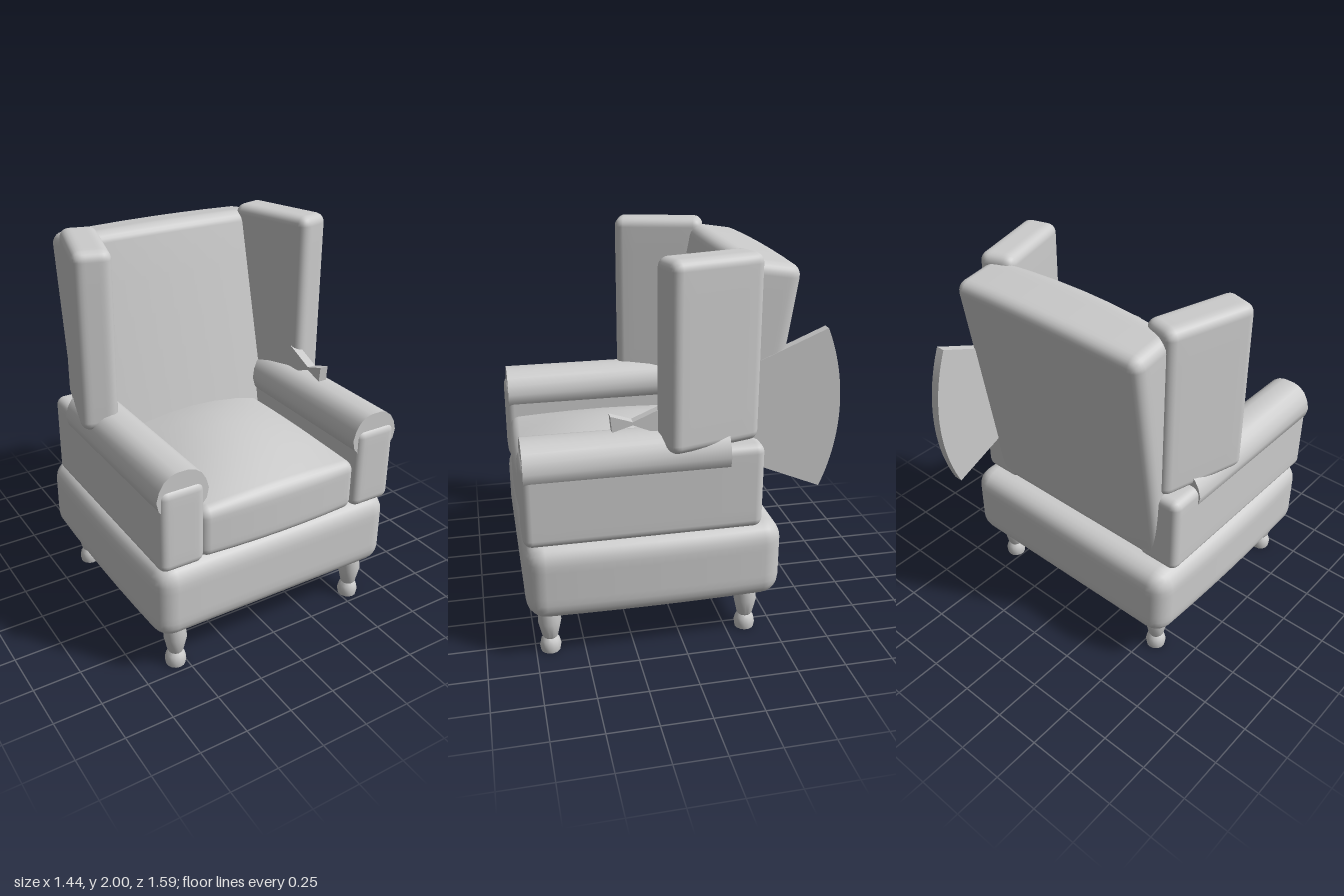
import * as THREE from 'three';
import { mergeVertices, toCreasedNormals } from 'three/addons/utils/BufferGeometryUtils.js';

const upholstery = new THREE.MeshStandardMaterial({ color: 0xcccccc });
upholstery.name = 'light grey';

// Padded block with half sizes hx, hy, hz and edge radius r; bend(v) may reshape it
function pad(hx, hy, hz, r, bend) {
  const geo = new THREE.BoxGeometry(2, 2, 2, 12, 12, 12);
  const pos = geo.attributes.position;
  const v = new THREE.Vector3(), core = new THREE.Vector3();
  const inner = new THREE.Vector3(hx - r, hy - r, hz - r);
  const remap = (t, c) => {
    const a = Math.abs(t);
    return Math.sign(t) * (a <= 0.5 ? c * a / 0.5 : c + r * (a - 0.5) / 0.5);
  };
  for (let i = 0; i < pos.count; i++) {
    v.fromBufferAttribute(pos, i);
    v.set(remap(v.x, inner.x), remap(v.y, inner.y), remap(v.z, inner.z));
    core.copy(v).clamp(inner.clone().negate(), inner);
    v.sub(core).setLength(r).add(core);
    if (bend) bend(v);
    pos.setXYZ(i, v.x, v.y, v.z);
  }
  geo.deleteAttribute('normal');
  geo.deleteAttribute('uv');
  const merged = mergeVertices(geo, 1e-5);
  merged.computeVertexNormals();
  return merged;
}

const hump = (t) => Math.max(0, 1 - t * t);

export function createModel() {
  const chair = new THREE.Group();
  chair.name = 'wingChair';
  const add = (name, geo, x, y, z) => {
    const mesh = new THREE.Mesh(geo, upholstery);
    mesh.name = name;
    mesh.position.set(x, y, z);
    chair.add(mesh);
    return mesh;
  };

  // Thick base, swelling slightly at the sides
  add('base', pad(0.69, 0.208, 0.65, 0.1, (v) => {
    v.x += 0.017 * (v.x / 0.69) * hump(v.z / 0.65);
  }), 0, 0.443, 0.14);

  // Domed seat cushion
  add('seatCushion', pad(0.455, 0.135, 0.53, 0.05, (v) => {
    if (v.y > 0) v.y += 0.115 * (v.y / 0.135) * hump(v.x / 0.455) * hump(v.z / 0.55);
    if (v.z > 0) v.z += 0.022 * (v.z / 0.53) * hump(v.x / 0.455);
  }), 0, 0.775, 0.24);

  // Reclined backrest, bowed and thicker toward the bottom
  add('backrest', pad(0.575, 0.65, 0.14, 0.06, (v) => {
    if (v.z > 0) v.z += (v.z / 0.14) * (0.04 * hump(v.x / 0.575) + 0.035 * (0.5 - v.y / 1.3));
    if (v.y > 0) v.y += 0.012 * (v.y / 0.65) * hump(v.x / 0.575);
  }), 0, 1.3, -0.345).rotation.x = -0.15;

  // Arm roll cross-section
  const roll = new THREE.Shape([
    [-0.1, 0.96], [-0.125, 0.99], [-0.136, 1.04], [-0.122, 1.09], [-0.098, 1.13], [-0.065, 1.155],
    [-0.03, 1.165], [0.03, 1.165], [0.065, 1.155], [0.098, 1.13], [0.122, 1.09], [0.136, 1.04],
    [0.125, 0.99], [0.1, 0.96],
  ].map(([x, y]) => new THREE.Vector2(x, y)));
  const rollGeo = toCreasedNormals(
    new THREE.ExtrudeGeometry(roll, { depth: 0.995, bevelEnabled: false }), 0.8);
  const armGeo = pad(0.12, 0.222, 0.593, 0.045);
  const wingGeo = pad(0.096, 0.46, 0.245, 0.05);

  // Turned leg profile
  const legGeo = toCreasedNormals(new THREE.LatheGeometry([
    [0, 0], [0.05, 0], [0.055, 0.03], [0.048, 0.06], [0.036, 0.078], [0.042, 0.09],
    [0.06, 0.17], [0.05, 0.25], [0, 0.25],
  ].map(([x, y]) => new THREE.Vector2(x, y)), 14), 0.6);

  for (const s of [1, -1]) {
    const side = s > 0 ? 'left' : 'right';
    add(side + 'Arm', armGeo, s * 0.562, 0.865, 0.197);
    add(side + 'ArmRoll', rollGeo, s * 0.557, 0, -0.22);
    add(side + 'Wing', wingGeo, s * 0.572, 1.54, -0.13).rotation.y = s * 0.28;
    add(side + 'FrontLeg', legGeo, s * 0.553, 0, 0.675);
    add(side + 'BackLeg', legGeo, s * 0.553, 0, -0.355);
  }

  // Fan-shaped side lever: large sector behind the pivot, small one in front
  const half = 0.408, fan = new THREE.Shape();
  fan.moveTo(0, -0.008);
  fan.lineTo(1.04 * Math.cos(half), -1.04 * Math.sin(half));
  fan.absarc(0, 0, 1.04, -half, half, false);
  fan.lineTo(0, 0.008);
  fan.lineTo(-0.108, 0.044);
  fan.lineTo(-0.1, -0.038);
  fan.closePath();
  const lever = toCreasedNormals(
    new THREE.ExtrudeGeometry(fan, { depth: 0.048, bevelEnabled: false, curveSegments: 16 }), 0.4);
  add('sideLever', lever, 0.53, 1.21, 0.24).rotation.y = Math.PI / 2;

  return chair;
}
